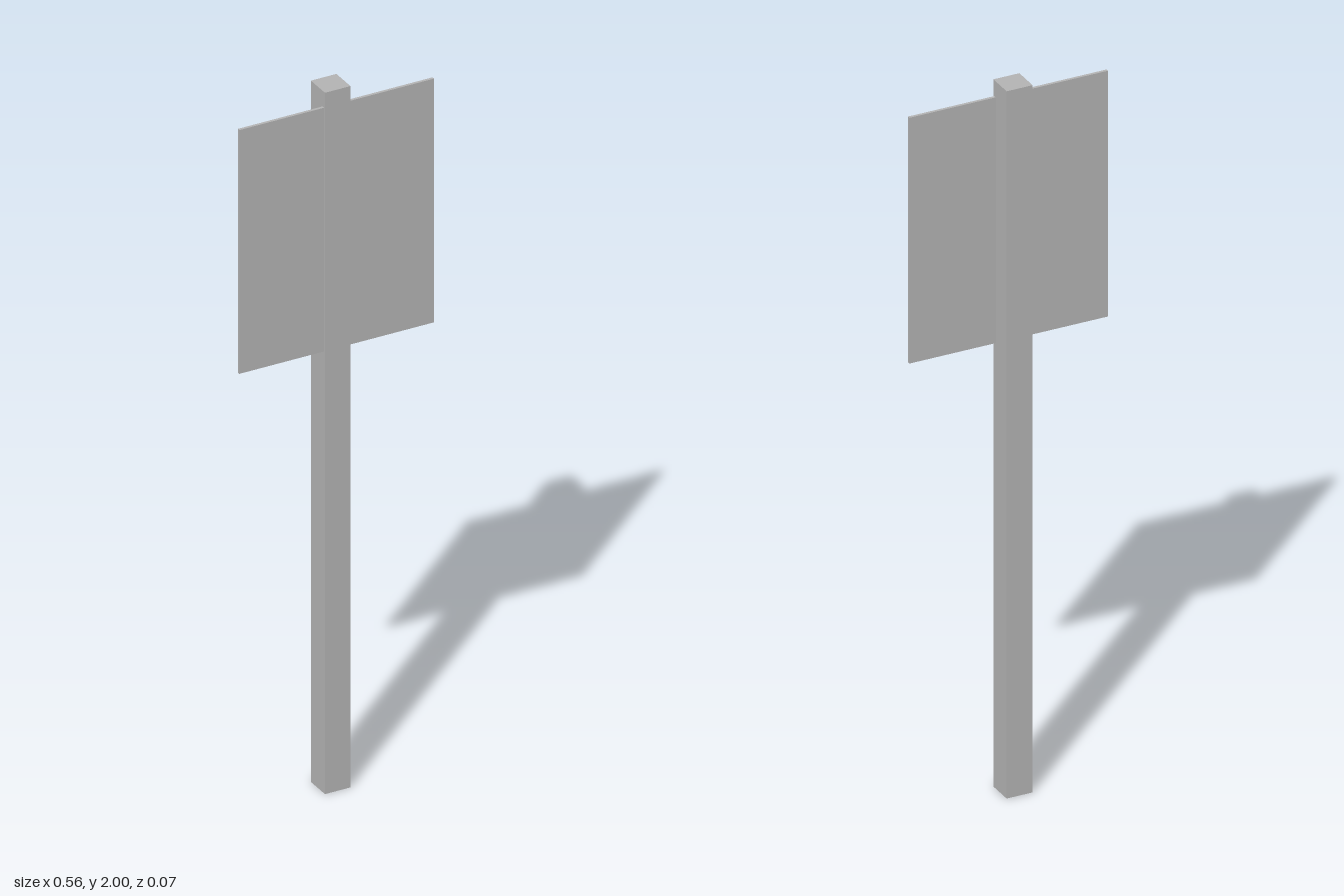
import * as THREE from 'three';

const grey = new THREE.MeshStandardMaterial({ color: 0xb3b3b3, side: THREE.DoubleSide });
grey.name = 'plain grey';

function addBox(group, name, size, position) {
  const mesh = new THREE.Mesh(new THREE.BoxGeometry(...size), grey);
  mesh.name = name;
  mesh.position.set(...position);
  group.add(mesh);
  return mesh;
}

export function createModel() {
  const sign = new THREE.Group();
  sign.name = 'signpost';

  // Square hollow post, closed on top and open at the foot
  const post = addBox(sign, 'post', [0.073, 2, 0.073], [0, 1, 0]);
  const faces = Array.from(post.geometry.index.array);
  faces.splice(18, 6); // the bottom face
  post.geometry.setIndex(faces);
  post.geometry.clearGroups();

  // Thin board set into the post, just behind its front face
  addBox(sign, 'signBoard', [0.558, 0.695, 0.008], [0, 1.6075, 0.0275]);

  return sign;
}
